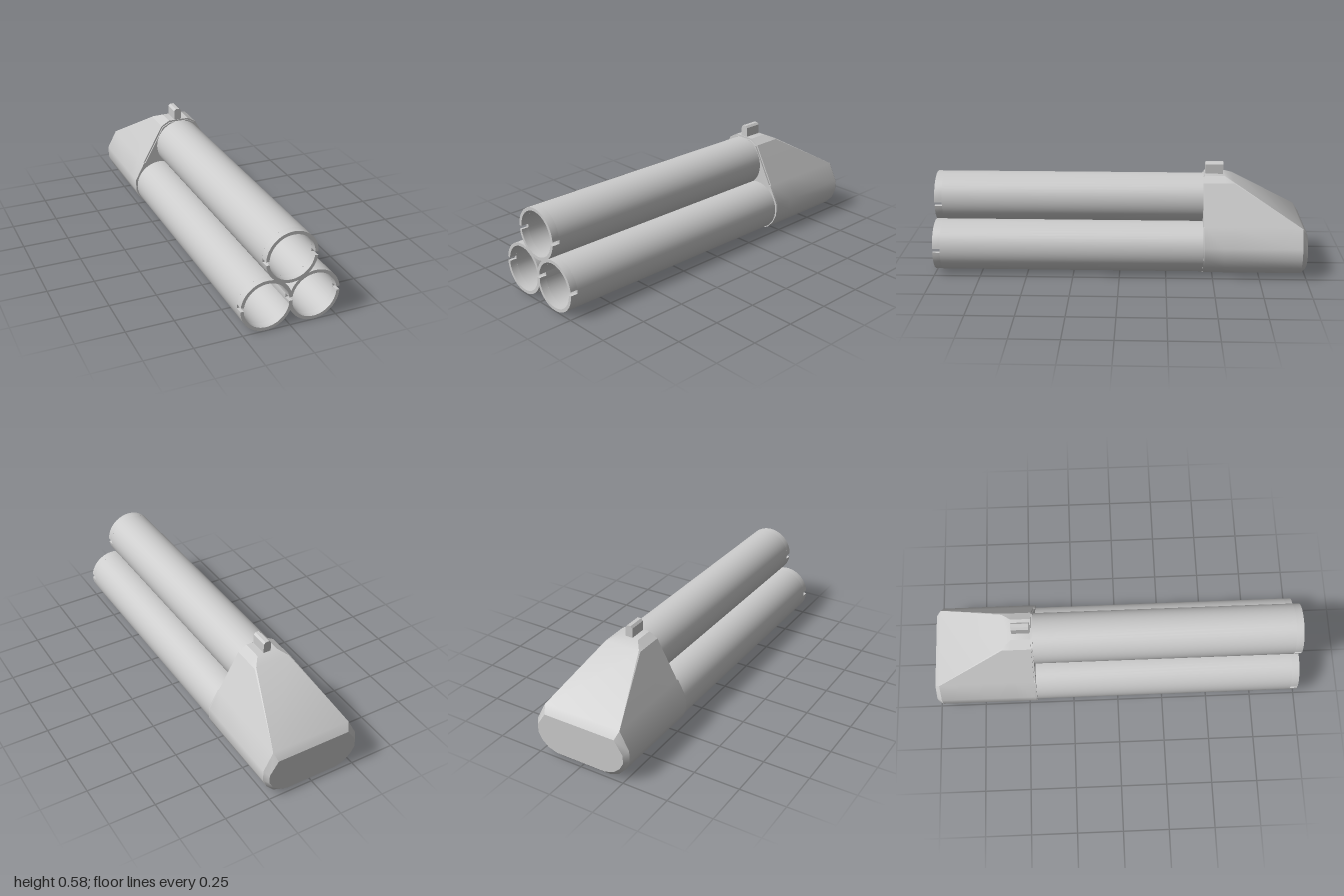
import * as THREE from 'three';
import { toCreasedNormals } from 'three/addons/utils/BufferGeometryUtils.js';

const material = new THREE.MeshStandardMaterial({ color: 0xcccccc });
const R_OUT = 0.137, R_IN = 0.12, FRONT = 1, SLOT_DEPTH = 0.04, SEAM = -0.447;

function addMesh(parent, name, geometry, crease = 0.6) {
  const flat = geometry.index ? geometry.toNonIndexed() : geometry;
  const mesh = new THREE.Mesh(toCreasedNormals(flat, crease), material);
  mesh.name = name;
  parent.add(mesh);
  return mesh;
}

// Mirrors a right-hand half profile (bottom to top) into a closed loop
const mirrorLoop = half => [...half, ...half.map(([x, y]) => [-x, y]).reverse()];

// Skins convex loops ordered from front to back and caps both ends
function loft(sections) {
  const pos = [];
  const tri = (a, b, c) => {
    const [A, B, C] = [a, b, c].map(p => new THREE.Vector3(...p));
    if (new THREE.Triangle(A, B, C).getArea() > 1e-8) pos.push(...a, ...b, ...c);
  };
  const loops = sections.map(s => s.loop.map(([x, y]) => [x, y, s.z]));
  const n = loops[0].length, last = loops[loops.length - 1];
  for (let i = 0; i < loops.length - 1; i++) {
    for (let k = 0; k < n; k++) {
      const m = (k + 1) % n, A = loops[i], B = loops[i + 1];
      tri(A[k], B[k], A[m]);
      tri(A[m], B[k], B[m]);
    }
  }
  for (let k = 1; k < n - 1; k++) {
    tri(loops[0][0], loops[0][k], loops[0][k + 1]);
    tri(last[0], last[k + 1], last[k]);
  }
  const geo = new THREE.BufferGeometry();
  geo.setAttribute('position', new THREE.Float32BufferAttribute(pos, 3));
  return geo;
}

// Open barrel whose muzzle is split by a slot on each side
function barrel(name, x, y, slotY) {
  const group = new THREE.Group();
  group.name = name;
  const ring = new THREE.Shape().absarc(0, 0, R_OUT, 0, Math.PI * 2);
  ring.holes.push(new THREE.Path().absarc(0, 0, R_IN, 0, Math.PI * 2, true));
  const body = new THREE.ExtrudeGeometry(ring, {
    depth: FRONT - SLOT_DEPTH - SEAM, bevelEnabled: false, curveSegments: 24
  });
  addMesh(group, 'barrelTube', body).position.z = SEAM;

  const lo = Math.asin((slotY - 0.0105) / R_OUT), hi = Math.asin((slotY + 0.0105) / R_OUT);
  for (const [from, to] of [[hi, Math.PI - hi], [Math.PI - lo, Math.PI * 2 + lo]]) {
    const arc = new THREE.Shape();
    arc.absarc(0, 0, R_OUT, from, to);
    arc.absarc(0, 0, R_IN, to, from, true);
    const lip = new THREE.ExtrudeGeometry(arc, { depth: SLOT_DEPTH, bevelEnabled: false, curveSegments: 12 });
    addMesh(group, 'muzzleLip', lip).position.z = FRONT - SLOT_DEPTH;
  }
  group.position.set(x, y, 0);
  return group;
}

export function createModel() {
  const model = new THREE.Group();
  model.name = 'tripleBarrel';

  // Three barrels in a triangle
  model.add(barrel('topBarrel', 0, 0.375, -0.007));
  model.add(barrel('leftBarrel', 0.127, 0.14, 0.008));
  model.add(barrel('rightBarrel', -0.127, 0.14, 0.008));

  // Housing: rounded triangle cut by a slope falling to the back
  const lower = [[0.155, 0], [0.21, 0.022], [0.25, 0.065], [0.273, 0.117], [0.273, 0.18], [0.22, 0.28]];
  const half = [...lower, [0.105, 0.49], [0.058, 0.518]];
  const clip = top => half.map(([x, y]) => {
    if (y <= top) return [x, y];
    const i = half.findIndex(p => p[1] > top);
    const [x0, y0] = half[i - 1], [x1, y1] = half[i];
    return [x0 + (x1 - x0) * (top - y0) / (y1 - y0), top];
  });
  const sections = [[-0.455, 0.518], [-0.56, 0.518], [-0.61, 0.495], [-0.972, 0.278]]
    .map(([z, top]) => ({ z, loop: mirrorLoop(clip(top)) }));
  // Chamfered back face
  sections.push({ z: -1, loop: mirrorLoop(clip(0.278).map(([x, y]) => [x * 0.93, 0.028 + y * 0.75])) });
  addMesh(model, 'housing', loft(sections), 0.5);

  // Front plate, set in slightly around the top barrel
  const plate = mirrorLoop([...lower, [0.211, 0.281], [0.098, 0.486], [0.054, 0.509]]);
  addMesh(model, 'frontPlate', loft([{ z: SEAM, loop: plate }, { z: -0.455, loop: plate }]), 0.5);

  // Sight blade with chamfered top edges
  const sight = mirrorLoop([[0.021, 0.51], [0.021, 0.57], [0.01, 0.581]]);
  addMesh(model, 'sight', loft([{ z: -0.459, loop: sight }, { z: -0.555, loop: sight }]), 0.3)
    .position.x = -0.002;

  return model;
}
